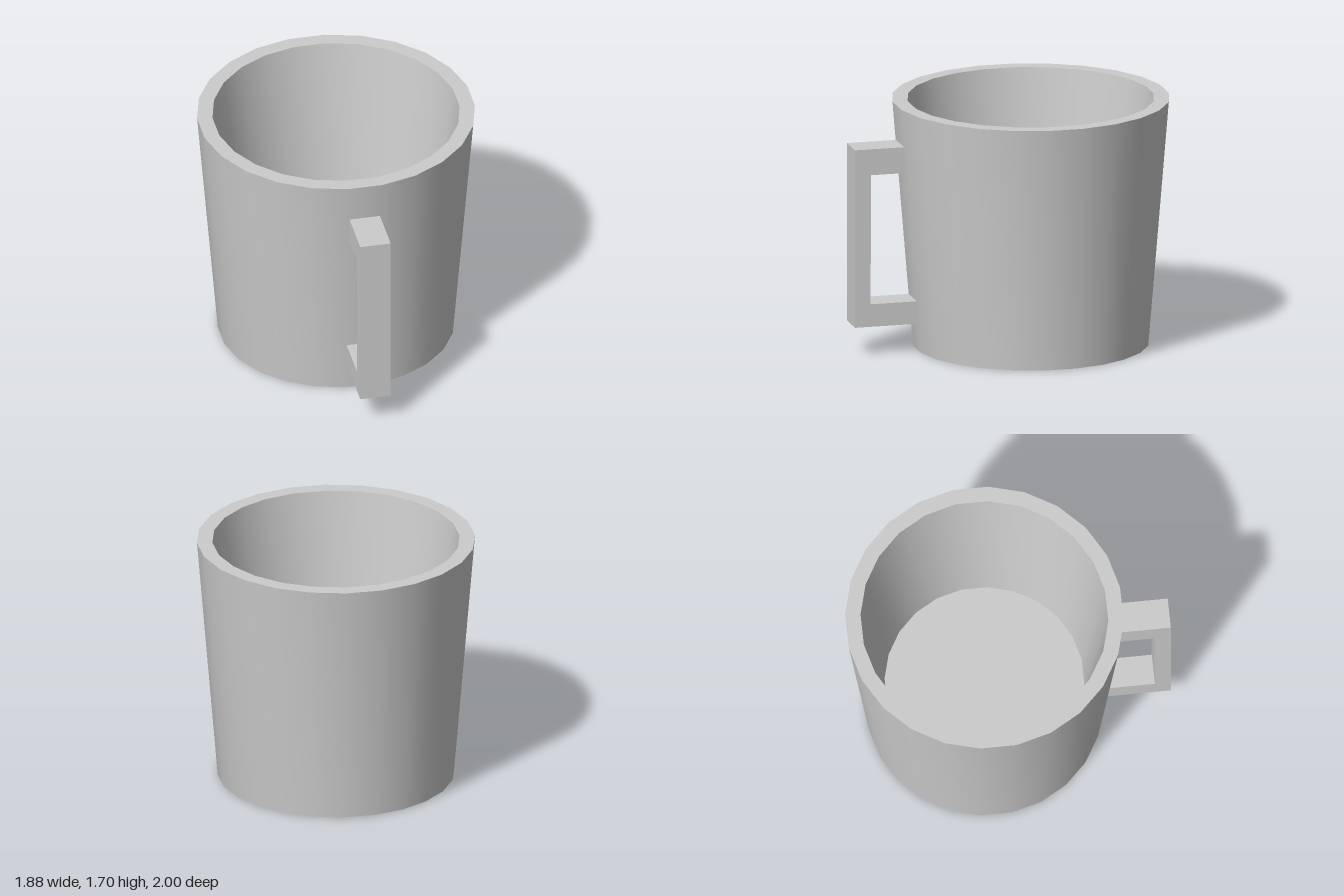
import * as THREE from 'three';
import { toCreasedNormals } from 'three/addons/utils/BufferGeometryUtils.js';

const SIDES = 24;
const CUP_Z = -0.06;
const toPoints = (list) => list.map(([x, y]) => new THREE.Vector2(x, y));

export function createModel() {
  const group = new THREE.Group();
  const material = new THREE.MeshStandardMaterial({ color: 0xcccccc });

  // Hollow tapered cup: base, outer wall, rim, inner wall, thick inside floor
  const profile = toPoints([
    [0, 0], [0.8, 0], [0.94, 1.7], [0.836, 1.7], [0.674, 0.45], [0, 0.45],
  ]);
  const cup = new THREE.Mesh(
    toCreasedNormals(new THREE.LatheGeometry(profile, SIDES), 0.6),
    material
  );
  cup.name = 'cup';
  cup.position.z = CUP_Z;
  group.add(cup);

  // Square C-shaped handle, drawn as distance from the cup axis against height;
  // both arms end just inside the cup wall
  const outline = new THREE.Shape(toPoints([
    [0.885, 1.437], [0.875, 1.257], [1.14, 1.257], [1.145, 0.36],
    [0.795, 0.36], [0.785, 0.203], [1.253, 0.203], [1.253, 1.437],
  ]));
  const width = 0.21;
  const handleGeometry = new THREE.ExtrudeGeometry(outline, { depth: width, bevelEnabled: false });
  handleGeometry.translate(0, 0, -width / 2);
  const handle = new THREE.Mesh(handleGeometry, material);
  handle.name = 'handle';
  handle.position.z = CUP_Z;
  // Points out of the middle of a wall facet, between front and right
  handle.rotation.y = THREE.MathUtils.degToRad(-127.5);
  group.add(handle);

  return group;
}
